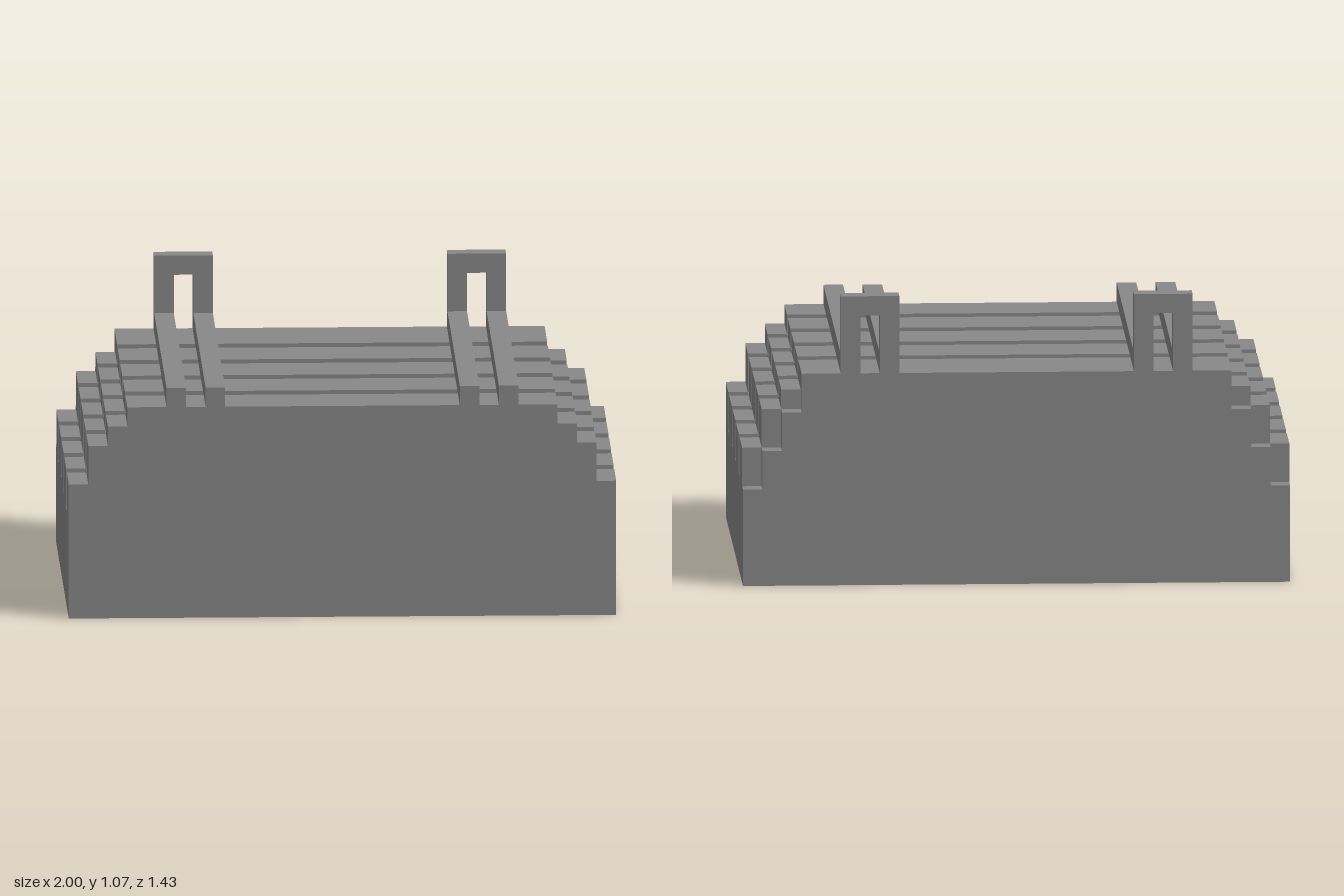
import * as THREE from 'three';

const U = 1 / 14; // grid unit of the blocky style

export function createModel() {
  const group = new THREE.Group();
  const stone = new THREE.MeshStandardMaterial({ color: 0x888888 });
  stone.name = 'grey';

  const add = (geometry, name) => {
    const mesh = new THREE.Mesh(geometry, stone);
    mesh.name = name;
    group.add(mesh);
  };

  // Box from min/max corners in grid units
  const box = (name, x0, x1, y0, y1, z0, z1) => {
    const g = new THREE.BoxGeometry((x1 - x0) * U, (y1 - y0) * U, (z1 - z0) * U);
    g.translate((x0 + x1) / 2 * U, (y0 + y1) / 2 * U, (z0 + z1) / 2 * U);
    add(g, name);
  };

  // Flat outline (grid units) extruded from z0 to z1
  const extrude = (name, points, z0, z1, hole) => {
    const toVec = ([x, y]) => new THREE.Vector2(x * U, y * U);
    const shape = new THREE.Shape(points.map(toVec));
    if (hole) shape.holes.push(new THREE.Path(hole.map(toVec)));
    const g = new THREE.ExtrudeGeometry(shape, { depth: (z1 - z0) * U, bevelEnabled: false });
    g.translate(0, 0, z0 * U);
    add(g, name);
  };

  // Stepped slice: heights of the three outer steps, then the top
  const slice = (name, heights, z0, z1) => {
    const right = [];
    let y = 5;
    heights.forEach((h, i) => {
      const x = 14 - i;
      if (h > y) {
        right.push([x, y], [x, h]);
        y = h;
      }
    });
    const left = right.map(([x, h]) => [-x, h]).reverse();
    // begin at the bottom right, go over the top to the bottom left
    if (right[0][0] < 14) extrude(name, [...right, ...left], z0, z1);
    else extrude(name, [...right, ...left], z0, z1);
  };

  // Solid base
  box('base', -14, 14, 0, 5, -10, 10);

  // Ribs with grooves between them
  const ribSteps = [7, 9, 10, 11];
  const grooveSteps = [5, 7, 9, 10];
  slice('backRib', [5, 7, 9, 11], -10, -9);
  for (const z of [-9, -5, -1, 3, 7]) slice('rib', ribSteps, z, z + 3);
  for (const z of [-6, -2, 2, 6]) slice('groove', grooveSteps, z, z + 1);

  // Twin rails and the arch behind them, on each side
  for (const s of [-1, 1]) {
    const side = s > 0 ? 'left' : 'right';
    for (const x of [6.5, 8.5]) {
      box(side + 'Rail', s * x - 0.5, s * x + 0.5, 11, 12, -9, 10);
    }
    const c = s * 7.5;
    extrude(side + 'Arch',
      [[c - 1.5, 11], [c - 0.5, 11], [c - 0.5, 14], [c + 0.5, 14],
        [c + 0.5, 11], [c + 1.5, 11], [c + 1.5, 15], [c - 1.5, 15]], -10, -9);
  }
  return group;
}
